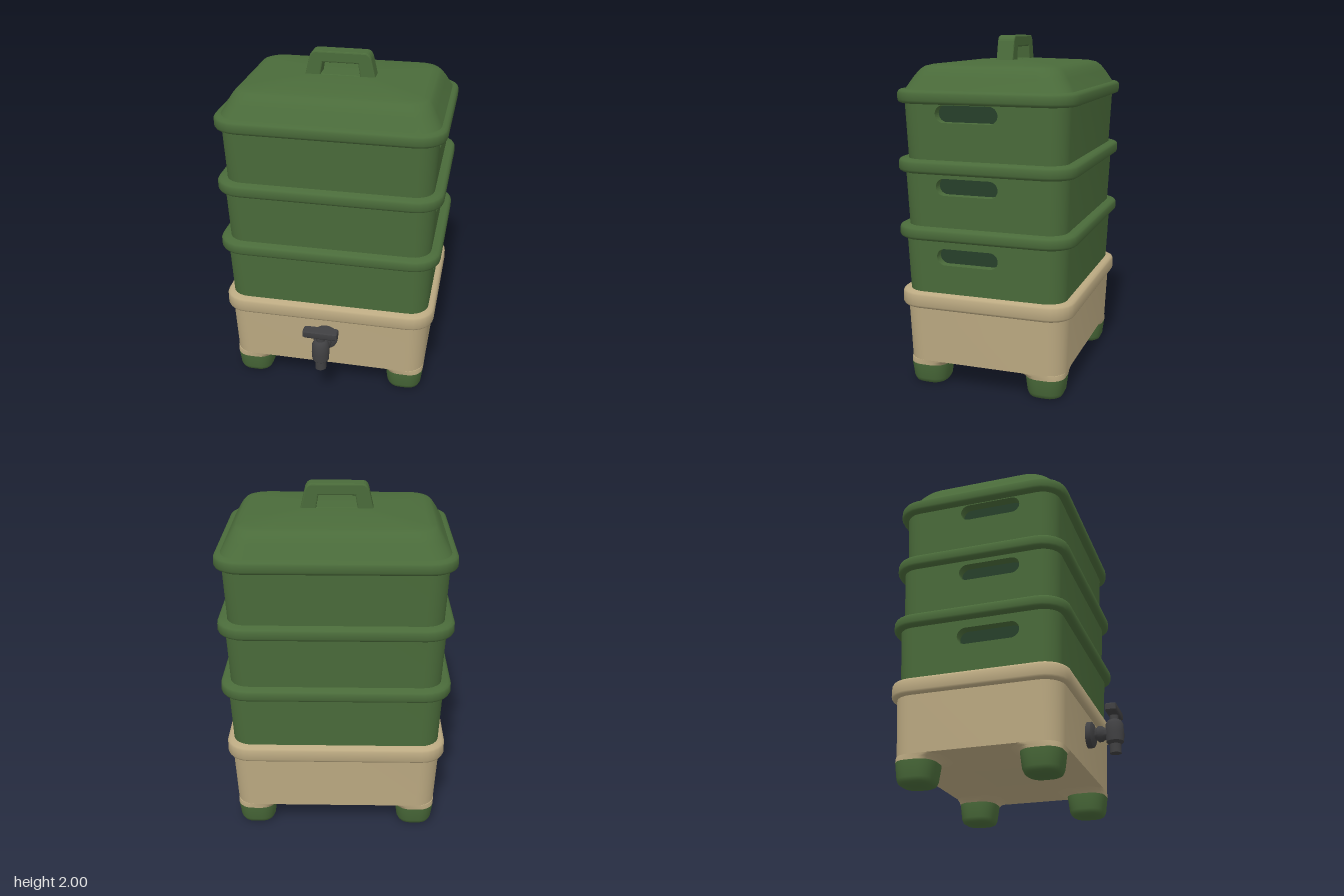
import * as THREE from 'three';
import { toCreasedNormals } from 'three/addons/utils/BufferGeometryUtils.js';

const green = new THREE.MeshStandardMaterial({ name: 'green plastic', color: 0x4a6b3a });
const darkGreen = new THREE.MeshStandardMaterial({ name: 'shaded green', color: 0x263f2a });
const beige = new THREE.MeshStandardMaterial({ name: 'beige plastic', color: 0xbcaa82 });
const black = new THREE.MeshStandardMaterial({ name: 'black plastic', color: 0x404042 });

const CZ = -0.08; // middle of the bins, the tap sticks out in front
const N = 6; // segments per rounded corner

// Loft through rounded rectangles [y, halfX, halfZ, radius, centreX, centreZ]
function loft(sections, openSides = false, crease = 0.7) {
  const pos = [], idx = [], P = 4 * (N + 1);
  for (const [y, hx, hz, r, cx = 0, cz = 0] of sections) {
    for (let k = 0; k < 4; k++) {
      const sx = k === 0 || k === 3 ? 1 : -1, sz = k < 2 ? 1 : -1;
      for (let j = 0; j <= N; j++) {
        const a = (k + j / N) * Math.PI / 2;
        pos.push(cx + sx * (hx - r) + r * Math.cos(a), y, cz + sz * (hz - r) + r * Math.sin(a));
      }
    }
  }
  const S = sections.length;
  for (let s = 0; s < S - 1; s++) {
    for (let i = 0; i < P; i++) {
      // leave the two x-facing sides open for the handle panels
      if (openSides && (i === P - 1 || i === P / 2 - 1)) continue;
      const a = s * P + i, b = s * P + (i + 1) % P;
      idx.push(a, a + P, b + P, a, b + P, b);
    }
  }
  // end caps
  if (!openSides) {
    for (const s of [0, S - 1]) {
      const [y, , , , cx = 0, cz = 0] = sections[s];
      const c = pos.length / 3;
      pos.push(cx, y, cz);
      for (let i = 0; i < P; i++) {
        const a = s * P + i, b = s * P + (i + 1) % P;
        if (s === 0) idx.push(c, a, b); else idx.push(c, b, a);
      }
    }
  }
  const g = new THREE.BufferGeometry();
  g.setAttribute('position', new THREE.Float32BufferAttribute(pos, 3));
  g.setIndex(idx);
  return toCreasedNormals(g, crease);
}

function add(parent, name, geometry, material, x = 0, y = 0, z = 0) {
  const m = new THREE.Mesh(geometry, material);
  m.name = name;
  m.position.set(x, y, z);
  parent.add(m);
  return m;
}

// Rounded collar around a bin
function rim(y0, y1, hx, hz, r) {
  const b = 0.018;
  return loft([
    [y0, hx - b, hz - b, r - b], [y0 + b * 0.4, hx - b * 0.3, hz - b * 0.3, r - b * 0.3], [y0 + b, hx, hz, r],
    [y1 - b, hx, hz, r], [y1 - b * 0.4, hx - b * 0.3, hz - b * 0.3, r - b * 0.3], [y1, hx - b, hz - b, r - b],
  ], false, 0.9);
}

// Slot outline, centred on (u, v)
function slot(path, u, v, halfLength, r) {
  const c = halfLength - r;
  path.absarc(u + c, v, r, -Math.PI / 2, Math.PI / 2, false);
  path.absarc(u - c, v, r, Math.PI / 2, Math.PI * 1.5, false);
  path.closePath();
  return path;
}

// Tapered bin with a recessed hand slot on both short sides
function bin(y0, y1, slotY) {
  const g = new THREE.Group();
  g.name = 'stackingBin';
  g.position.z = CZ;
  const r = 0.11, bx = 0.6, tx = 0.614, bz = 0.464, tz = 0.478, depth = 0.06;
  add(g, 'binWall', loft([[y0, bx, bz, r], [y1, tx, tz, r]], true), green);
  for (const side of [1, -1]) {
    const u = CZ * side;
    const shape = new THREE.Shape([
      new THREE.Vector2(r - bz, y0), new THREE.Vector2(bz - r, y0),
      new THREE.Vector2(tz - r, y1), new THREE.Vector2(r - tz, y1),
    ]);
    shape.holes.push(slot(new THREE.Path(), u, slotY, 0.18, 0.048));
    const panel = new THREE.ExtrudeGeometry(shape, { depth, bevelEnabled: false, curveSegments: 8 });
    // turn the panel to face +x and lean it with the wall
    const p = panel.attributes.position;
    for (let i = 0; i < p.count; i++) {
      const v = p.getY(i), x = bx + (tx - bx) * (v - y0) / (y1 - y0);
      p.setXYZ(i, x - depth + p.getZ(i), v, -p.getX(i));
    }
    panel.computeVertexNormals();
    const end = new THREE.Group();
    end.name = 'handSlotSide';
    end.rotation.y = side > 0 ? 0 : Math.PI;
    add(end, 'sidePanel', panel, green);
    const floor = new THREE.ShapeGeometry(slot(new THREE.Shape(), u, slotY, 0.185, 0.053));
    add(end, 'handSlotFloor', floor.rotateY(Math.PI / 2), darkGreen, bx - 0.045);
    g.add(end);
  }
  return g;
}

export function createModel() {
  const model = new THREE.Group();
  model.name = 'stackedComposter';

  // Base tray with four legs
  const base = new THREE.Group();
  base.name = 'base';
  base.position.z = CZ;
  model.add(base);
  add(base, 'baseTray', loft([[0.145, 0.58, 0.455, 0.1], [0.15, 0.592, 0.467, 0.11], [0.5, 0.61, 0.482, 0.12]]), beige);
  add(base, 'baseRim', rim(0.475, 0.57, 0.637, 0.51, 0.14), beige);
  for (const sx of [1, -1]) {
    for (const sz of [1, -1]) {
      const at = (y, h, r, cx, cz) => [y, h, h, r, sx * cx, sz * cz];
      add(base, 'legTop', loft([
        at(0.12, 0.115, 0.085, 0.475, 0.35), at(0.135, 0.124, 0.09, 0.467, 0.342), at(0.15, 0.15, 0.1, 0.442, 0.317),
      ]), beige);
      add(base, 'foot', loft([
        at(0, 0.08, 0.06, 0.475, 0.35), at(0.008, 0.094, 0.07, 0.475, 0.35),
        at(0.03, 0.104, 0.078, 0.475, 0.35), at(0.12, 0.115, 0.085, 0.475, 0.35),
      ]), green);
    }
  }

  // Three stacked bins and the collars between them
  model.add(bin(0.56, 0.9, 0.785), bin(0.94, 1.275, 1.183), bin(1.32, 1.66, 1.585));
  for (const [y0, y1] of [[0.88, 0.952], [1.256, 1.33], [1.638, 1.712]]) {
    add(model, 'binRim', rim(y0, y1, 0.656, 0.52, 0.16), green, 0, 0, CZ);
  }

  // Domed lid
  add(model, 'lid', loft([
    [1.7, 0.628, 0.492, 0.14], [1.715, 0.618, 0.48, 0.14], [1.78, 0.582, 0.44, 0.13], [1.815, 0.56, 0.415, 0.13],
    [1.835, 0.54, 0.388, 0.12], [1.845, 0.5, 0.35, 0.11], [1.863, 0.2, 0.1, 0.05],
  ], false, 1), green, 0, 0, CZ);

  // Lid handle
  const b = 0.008;
  const grip = new THREE.Shape();
  grip.moveTo(-0.2, 1.85).lineTo(0.2, 1.85).lineTo(0.172, 1.965).quadraticCurveTo(0.163, 2 - b, 0.14, 2 - b);
  grip.lineTo(-0.14, 2 - b).quadraticCurveTo(-0.163, 2 - b, -0.172, 1.965).closePath();
  const gap = new THREE.Path();
  gap.moveTo(-0.124, 1.858).lineTo(-0.11, 1.943).lineTo(0.11, 1.943).lineTo(0.124, 1.858).closePath();
  grip.holes.push(gap);
  add(model, 'lidHandle', new THREE.ExtrudeGeometry(grip, {
    depth: 0.1 - 2 * b, bevelThickness: b, bevelSize: b, bevelSegments: 2, curveSegments: 5,
  }), green, 0, 0, -0.13 + b);

  // Tap: flange and neck along z, then the upright valve
  const tap = new THREE.Group();
  tap.name = 'tap';
  model.add(tap);
  const turned = (pts) => toCreasedNormals(new THREE.LatheGeometry(pts.map(([r, y]) => new THREE.Vector2(r, y)), 20), 0.7);
  const neck = turned([[0, 0], [0.075, 0], [0.075, 0.04], [0.06, 0.05], [0.03, 0.055], [0.046, 0.075],
    [0.046, 0.095], [0.032, 0.115], [0.032, 0.16], [0, 0.16]]);
  add(tap, 'tapNeck', neck.rotateX(Math.PI / 2), black, 0, 0.355, 0.385);
  add(tap, 'tapValve', turned([[0, 0.233], [0.033, 0.233], [0.033, 0.285], [0.05, 0.3], [0.053, 0.35], [0.05, 0.405],
    [0.038, 0.425], [0.026, 0.43], [0.026, 0.465], [0, 0.465]]), black, 0, 0, 0.552);
  add(tap, 'tapLever', loft([[0.455, 0.095, 0.028, 0.01], [0.462, 0.103, 0.033, 0.012],
    [0.494, 0.103, 0.033, 0.012], [0.5, 0.098, 0.028, 0.01]]), black, 0, 0, 0.552);

  return model;
}
